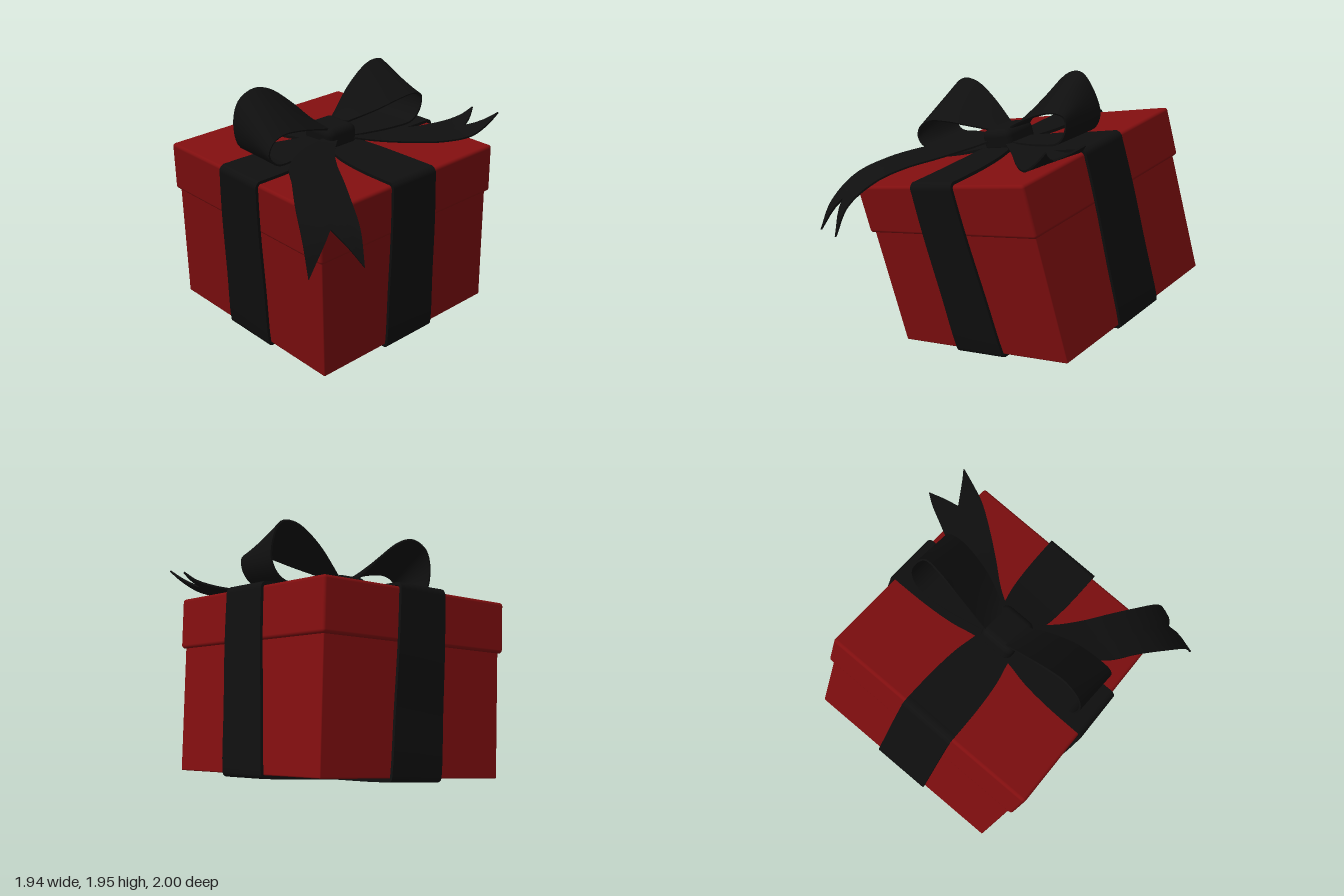
import * as THREE from 'three';
import { RoundedBoxGeometry } from 'three/addons/geometries/RoundedBoxGeometry.js';
import { toCreasedNormals } from 'three/addons/utils/BufferGeometryUtils.js';

const red = new THREE.MeshStandardMaterial({ color: 0x800e0f });
red.name = 'red card';
const black = new THREE.MeshStandardMaterial({ color: 0x0f0f0f, side: THREE.DoubleSide });
black.name = 'black ribbon';

// Thin strip of cloth stretched between two edge curves; notch cuts a V in its end
function ribbon(name, railA, railB, { segs = 40, across = 8, notch = 0, thick = 0.012 } = {}) {
  const [a, b] = [railA, railB].map(r => new THREE.CatmullRomCurve3(r.map(p => new THREE.Vector3(...p))));
  const pos = [], grid = [], row = across + 1;
  for (let i = 0; i <= segs; i++) {
    for (let j = 0; j <= across; j++) {
      const q = j / across;
      const t = (i / segs) * (1 - notch * (1 - Math.abs(2 * q - 1)));
      pos.push(...a.getPoint(t).lerp(b.getPoint(t), q).toArray());
      if (i < segs && j < across) {
        const k = i * row + j;
        grid.push(k, k + row, k + row + 1, k, k + row + 1, k + 1);
      }
    }
  }
  const sheet = new THREE.BufferGeometry();
  sheet.setAttribute('position', new THREE.Float32BufferAttribute(pos, 3));
  sheet.setIndex(grid);
  sheet.computeVertexNormals();
  const nor = sheet.attributes.normal.array;
  const N = pos.length / 3;
  const verts = [1, -1].flatMap(s => pos.map((v, k) => v + s * nor[k] * thick / 2));

  // Both faces, then the rim that joins them
  const index = [...grid];
  for (let k = 0; k < grid.length; k += 3) index.push(grid[k] + N, grid[k + 2] + N, grid[k + 1] + N);
  const rim = [];
  for (let i = 0; i < segs; i++) rim.push(i * row);
  for (let j = 0; j < across; j++) rim.push(segs * row + j);
  for (let i = segs; i > 0; i--) rim.push(i * row + across);
  for (let j = across; j > 0; j--) rim.push(j);
  rim.forEach((p, k) => {
    const q = rim[(k + 1) % rim.length];
    index.push(q, p, p + N, q, p + N, q + N);
  });
  const geo = new THREE.BufferGeometry();
  geo.setAttribute('position', new THREE.Float32BufferAttribute(verts, 3));
  geo.setIndex(index);
  const mesh = new THREE.Mesh(toCreasedNormals(geo, 0.9), black);
  mesh.name = name;
  return mesh;
}

function block(name, w, h, d, y, radius, material) {
  const mesh = new THREE.Mesh(new RoundedBoxGeometry(w, h, d, 3, radius), material);
  mesh.name = name;
  mesh.position.y = y;
  return mesh;
}

// Band round the box: half outline as [distance out, height, half width]
const bandHalf = [
  [0, 1.2, 0.13], [0.13, 1.2, 0.135], [0.3, 1.19, 0.168], [0.5, 1.184, 0.185], [0.73, 1.184, 0.19],
  [0.768, 1.183, 0.19], [0.788, 1.163, 0.19], [0.79, 1.12, 0.19], [0.79, 0.84, 0.195],
  [0.775, 0.4, 0.203], [0.764, 0.03, 0.21], [0.755, -0.008, 0.21], [0.7, -0.014, 0.21], [0, -0.014, 0.21],
];
const bandPath = [...bandHalf, ...bandHalf.slice(0, -1).reverse().map(([s, h, w]) => [-s, h, w])];

function band(name) {
  const rail = side => bandPath.map(([s, h, w]) => [side * w, h, s]);
  return ribbon(name, rail(-1), rail(1), { segs: (bandPath.length - 1) * 4, across: 2, thick: 0.02 });
}

export function createModel() {
  const model = new THREE.Group();
  model.name = 'giftBox';

  // Box tipped onto one corner
  const box = new THREE.Group();
  box.name = 'tiltedBox';
  const tilt = THREE.MathUtils.degToRad(10);
  box.rotation.set(tilt, 0, tilt, 'ZXY');
  box.position.set(0.187, 0.258, -0.239);
  model.add(box);
  box.add(block('boxBody', 1.5, 1.0, 1.5, 0.5, 0.008, red));
  box.add(block('lid', 1.55, 0.34, 1.55, 1.0, 0.022, red));
  box.add(band('frontBackBand'));
  const sideBand = band('sideBand');
  sideBand.rotation.y = Math.PI / 2;
  box.add(sideBand);
  box.add(block('bowKnot', 0.25, 0.16, 0.28, 1.25, 0.05, black));

  // Bow loops: back edge, then the lower front edge
  const bow = new THREE.Group();
  bow.name = 'bow';
  model.add(bow);
  bow.add(ribbon('leftLoop',
    [[0.06, 1.55, -0.12], [0.25, 1.79, -0.13], [0.42, 1.93, -0.12], [0.53, 1.94, -0.11], [0.61, 1.83, -0.13],
      [0.64, 1.69, -0.16], [0.58, 1.585, -0.18], [0.4, 1.53, -0.17], [0.06, 1.47, -0.1]],
    [[0.06, 1.55, 0.06], [0.25, 1.625, 0.15], [0.42, 1.69, 0.19], [0.55, 1.72, 0.2], [0.63, 1.7, 0.19],
      [0.635, 1.62, 0.18], [0.57, 1.53, 0.17], [0.4, 1.49, 0.15], [0.06, 1.45, 0.07]]));
  bow.add(ribbon('rightLoop',
    [[-0.1, 1.55, -0.12], [-0.28, 1.69, -0.14], [-0.45, 1.785, -0.15], [-0.58, 1.795, -0.15], [-0.69, 1.72, -0.16],
      [-0.72, 1.57, -0.17], [-0.66, 1.42, -0.18], [-0.45, 1.42, -0.17], [-0.1, 1.45, -0.1]],
    [[-0.1, 1.51, 0.06], [-0.28, 1.53, 0.13], [-0.45, 1.54, 0.17], [-0.6, 1.525, 0.18], [-0.69, 1.47, 0.19],
      [-0.71, 1.4, 0.19], [-0.65, 1.345, 0.19], [-0.45, 1.37, 0.17], [-0.1, 1.43, 0.07]]));

  // Loose tails with notched ends
  bow.add(ribbon('rightTail',
    [[-0.08, 1.46, 0.02], [-0.4, 1.4, 0.12], [-0.62, 1.34, 0.27], [-0.75, 1.28, 0.46], [-0.87, 1.18, 0.64],
      [-0.945, 1.0, 0.8], [-0.97, 0.81, 0.88]],
    [[-0.04, 1.46, 0.08], [-0.2, 1.385, 0.22], [-0.32, 1.33, 0.38], [-0.43, 1.28, 0.56], [-0.53, 1.2, 0.74],
      [-0.61, 1.05, 0.92], [-0.65, 0.85, 1.0]], { notch: 0.2 }));
  bow.add(ribbon('leftTail',
    [[0.06, 1.46, 0.02], [0.3, 1.46, 0.1], [0.5, 1.475, 0.16], [0.66, 1.49, 0.22], [0.8, 1.52, 0.29],
      [0.9, 1.56, 0.34], [0.96, 1.61, 0.38]],
    [[0.02, 1.45, 0.08], [0.2, 1.42, 0.2], [0.38, 1.41, 0.36], [0.55, 1.415, 0.5], [0.7, 1.45, 0.605],
      [0.81, 1.52, 0.645], [0.9, 1.6, 0.665]], { notch: 0.28 }));

  return model;
}
